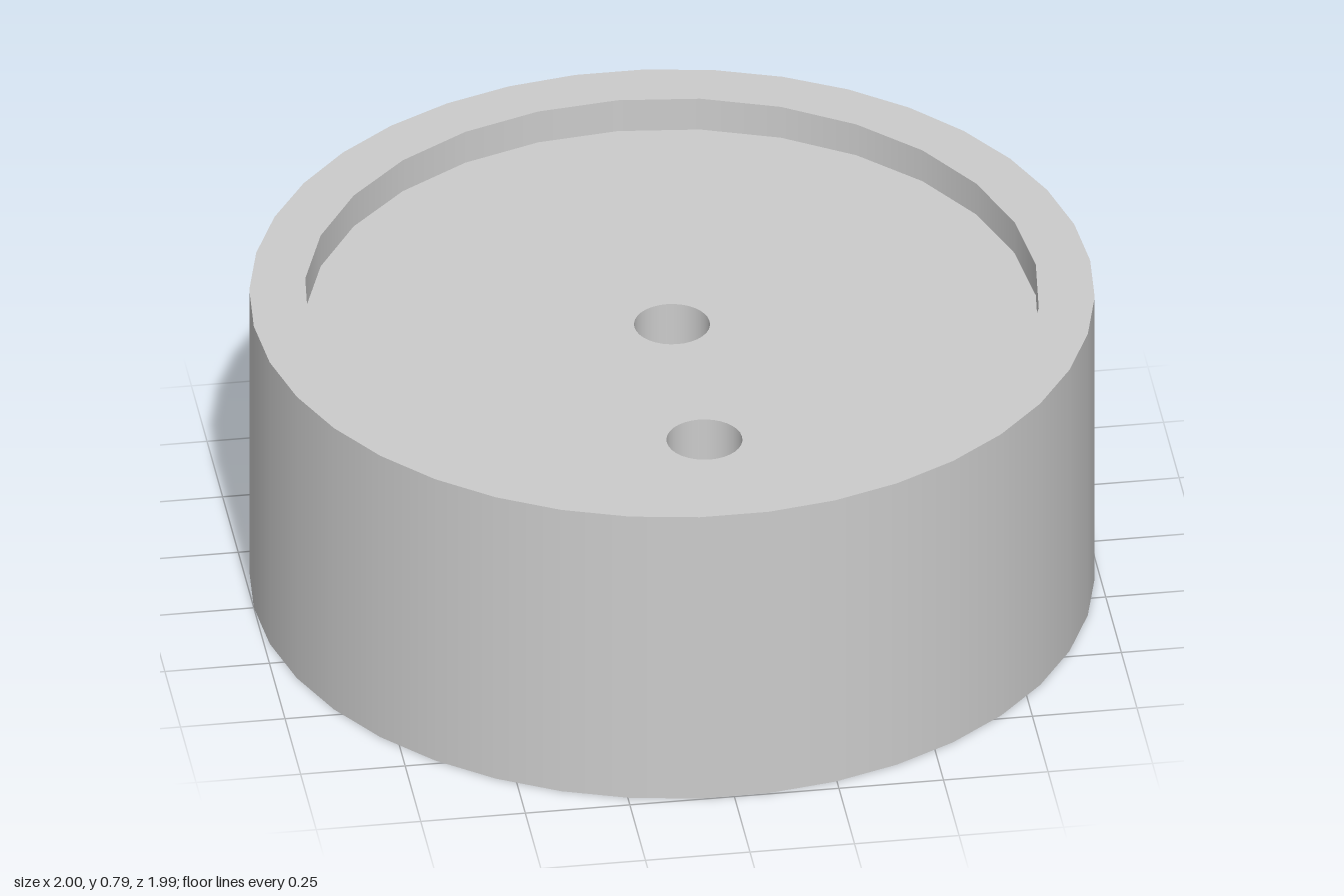
import * as THREE from 'three';

const HEIGHT = 0.785, RECESS = 0.086;
const OUTER = { r: 1, z: 0, n: 38 };
const POCKET = { r: 0.87, z: 0, n: 28 };
const HOLES = [{ r: 0.09, z: 0, n: 32 }, { r: 0.09, z: 0.52, n: 32 }];

export function createModel() {
  const group = new THREE.Group();
  const material = new THREE.MeshStandardMaterial({ color: 0xcccccc });

  const add = (name, geometry) => {
    const mesh = new THREE.Mesh(geometry, material);
    mesh.name = name;
    group.add(mesh);
    return mesh;
  };

  // Smooth vertical wall: faces outward when going up, inward when going down
  const wall = (name, { r, z, n }, yFrom, yTo) => {
    const profile = [new THREE.Vector2(r, yFrom), new THREE.Vector2(r, yTo)];
    add(name, new THREE.LatheGeometry(profile, n, Math.PI / 2)).position.z = z;
  };

  // Regular polygon with a corner on the x axis
  const polygon = ({ r, z, n }, sign) => Array.from({ length: n }, (_, i) => {
    const a = (i / n) * Math.PI * 2;
    return new THREE.Vector2(r * Math.cos(a), r * Math.sin(a) + sign * z);
  });

  // Flat horizontal face with cut-outs; dir is 1 facing up, -1 facing down
  const face = (name, outline, cuts, y, dir) => {
    const shape = new THREE.Shape(polygon(outline, -dir));
    shape.holes = cuts.map((c) => new THREE.Path(polygon(c, -dir)));
    add(name, new THREE.ShapeGeometry(shape).rotateX(-dir * Math.PI / 2)).position.y = y;
  };

  // Outer drum
  wall('outerWall', OUTER, 0, HEIGHT);

  // Rims and recessed faces at both ends
  face('topRim', OUTER, [POCKET], HEIGHT, 1);
  wall('topRecessWall', POCKET, HEIGHT, HEIGHT - RECESS);
  face('topRecessFloor', POCKET, HOLES, HEIGHT - RECESS, 1);
  face('bottomRim', OUTER, [POCKET], 0, -1);
  wall('bottomRecessWall', POCKET, RECESS, 0);
  face('bottomRecessFloor', POCKET, HOLES, RECESS, -1);

  // Through holes: centre bore and offset bore
  ['centreBore', 'offsetBore'].forEach((name, i) => wall(name, HOLES[i], HEIGHT - RECESS, RECESS));

  return group;
}
